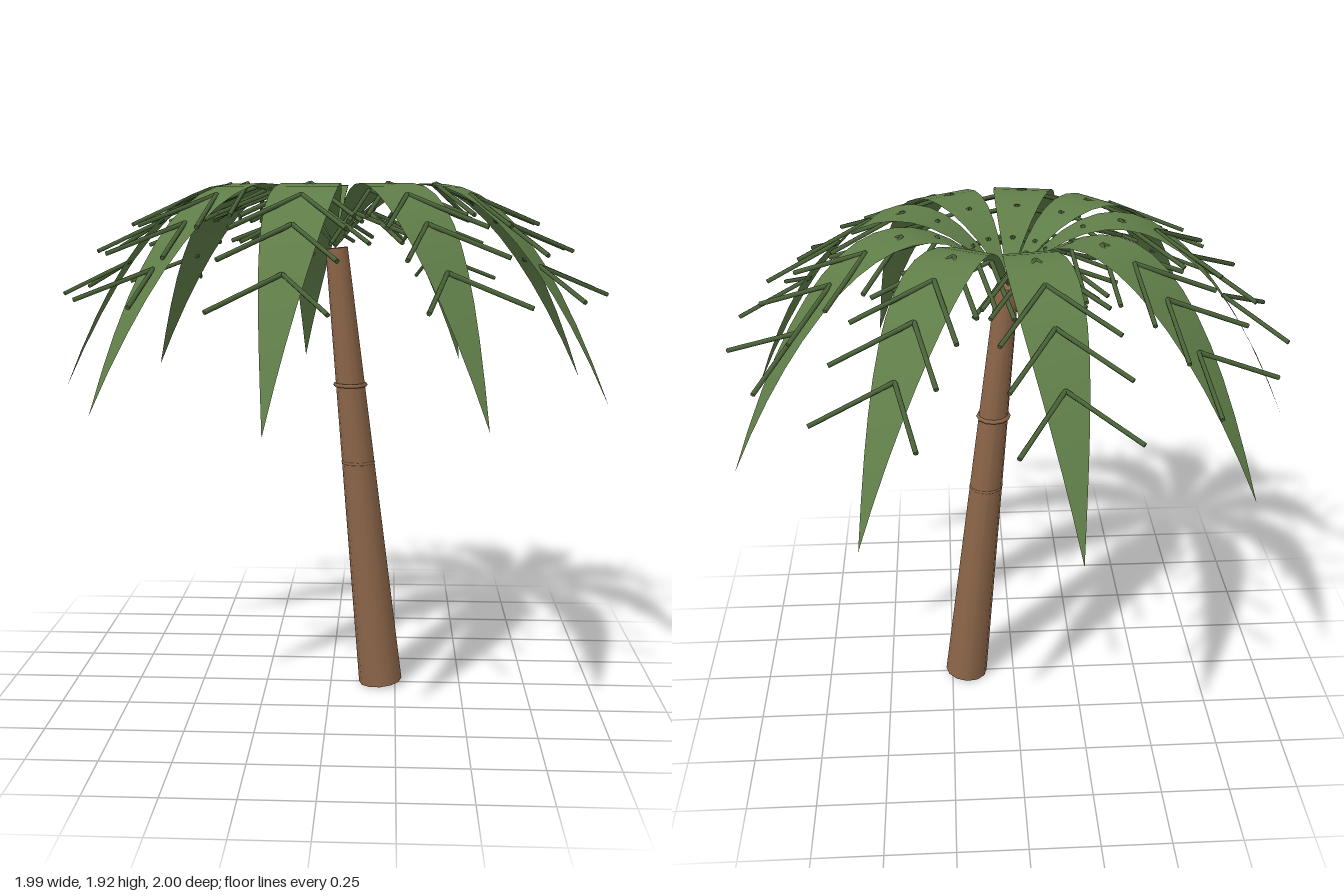
import * as THREE from 'three';

const REACH = 1.016;       // horizontal length of a frond
const CROWN = new THREE.Vector3(0.016, 1.68, 0);
const archHeight = t => 1.29 * t - 1.81 * t * t;

const bark = new THREE.MeshStandardMaterial({ color: 0x8b6548 });
const leafGreen = new THREE.MeshStandardMaterial({ color: 0x5f7d48, side: THREE.DoubleSide });
const stemGreen = new THREE.MeshStandardMaterial({ color: 0x4a6338 });

function named(mesh, name) {
  mesh.name = name;
  return mesh;
}

// Cylinder running from point a to point b
function rod(a, b, ra, rb, sides, material, name) {
  const dir = b.clone().sub(a);
  const mesh = new THREE.Mesh(new THREE.CylinderGeometry(rb, ra, dir.length(), sides), material);
  mesh.position.copy(a).add(b).multiplyScalar(0.5);
  mesh.quaternion.setFromUnitVectors(new THREE.Vector3(0, 1, 0), dir.normalize());
  return named(mesh, name);
}

// Thin lens-shaped blade arching out along +x
function bladeGeometry() {
  const geo = new THREE.PlaneGeometry(1, 1, 2, 16);
  const pos = geo.attributes.position;
  for (let i = 0; i < pos.count; i++) {
    const t = pos.getY(i) + 0.5;
    const side = pos.getX(i) * 2;
    pos.setXYZ(i, REACH * t, archHeight(t), side * 0.11 * Math.sin(Math.PI * t));
  }
  geo.computeVertexNormals();
  return geo;
}

function createFrond(blade) {
  const frond = new THREE.Group();
  frond.add(named(new THREE.Mesh(blade, leafGreen), 'frondBlade'));
  // Pairs of drooping leaflets along the midrib
  for (let i = 1; i <= 6; i++) {
    const t = i / 8;
    const start = new THREE.Vector3(REACH * t, archHeight(t), 0);
    for (const side of [-1, 1]) {
      const end = start.clone().add(new THREE.Vector3(0.2, -0.105, side * 0.19));
      frond.add(rod(start, end, 0.008, 0.008, 6, stemGreen, 'leaflet'));
    }
  }
  return frond;
}

export function createModel() {
  const palm = new THREE.Group();
  palm.name = 'palmTree';

  // Leaning, tapered trunk
  const foot = new THREE.Vector3(0.193, 0.009, 0);
  const top = new THREE.Vector3(0.02, 1.68, 0);
  palm.add(rod(foot, top, 0.083, 0.041, 12, bark, 'trunk'));

  // Level bark rings
  for (const y of [0.88, 1.175]) {
    const ring = named(new THREE.Mesh(new THREE.TorusGeometry(0.056, 0.008, 6, 12), bark), 'barkRing');
    ring.rotation.x = Math.PI / 2;
    ring.position.lerpVectors(foot, top, (y - foot.y) / (top.y - foot.y));
    palm.add(ring);
  }

  // Nine fronds evenly spread, one pointing to -x
  const blade = bladeGeometry();
  for (let i = 0; i < 9; i++) {
    const frond = createFrond(blade);
    frond.name = 'frond';
    frond.position.copy(CROWN);
    frond.rotation.y = Math.PI + (i * Math.PI * 2) / 9;
    palm.add(frond);
  }
  return palm;
}
